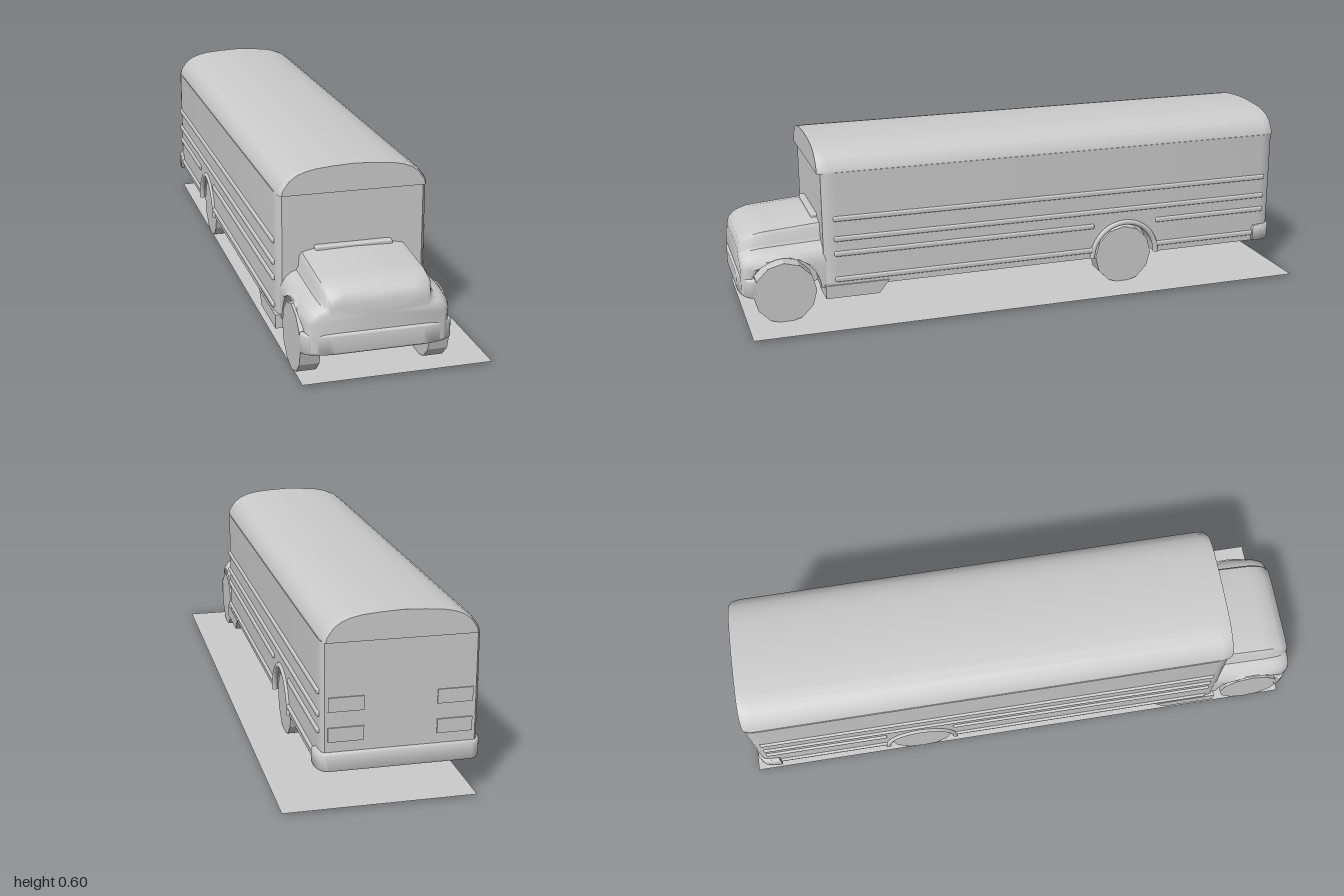
import * as THREE from 'three';
import { toCreasedNormals } from 'three/addons/utils/BufferGeometryUtils.js';
import { RoundedBoxGeometry } from 'three/addons/geometries/RoundedBoxGeometry.js';

const material = new THREE.MeshStandardMaterial({ color: 0xcccccc });
const flatMaterial = new THREE.MeshStandardMaterial({ color: 0xcccccc, flatShading: true });
const thinMaterial = new THREE.MeshStandardMaterial({ color: 0xcccccc, side: THREE.DoubleSide });
const WHEEL_Y = 0.107, FRONT_Z = 0.85, REAR_Z = -0.38;

// Linear interpolation in a short table of [z, value] rows, z ascending
function lookUp(table, z) {
  if (z <= table[0][0]) return table[0][1];
  for (let i = 1; i < table.length; i++) {
    const [z0, v0] = table[i - 1], [z1, v1] = table[i];
    if (z <= z1) return v0 + (v1 - v0) * (z - z0) / (z1 - z0);
  }
  return table[table.length - 1][1];
}

// Skin over mirrored cross-sections; half(z) lists points from bottom to top on +x
function loft(zs, half, crease = 0.7) {
  const pos = [], index = [];
  let n = 0;
  for (const z of zs) {
    const right = half(z);
    const left = right.filter(p => p[0] > 0).reverse().map(([x, y]) => [-x, y]);
    const ring = [...right, ...left];
    n = ring.length;
    ring.forEach(([x, y]) => pos.push(x, y, z));
  }
  for (let i = 0; i < zs.length - 1; i++) for (let j = 0; j < n; j++) {
    const k = (j + 1) % n, a = i * n + j, b = i * n + k;
    index.push(a, b, b + n, a, b + n, a + n);
  }
  // end caps as fans
  for (const end of [0, zs.length - 1]) {
    const start = end * n, centre = pos.length / 3;
    let y = 0;
    for (let j = 0; j < n; j++) y += pos[(start + j) * 3 + 1] / n;
    pos.push(0, y, zs[end]);
    for (let j = 0; j < n; j++) {
      const a = start + j, b = start + (j + 1) % n;
      if (end) index.push(centre, a, b); else index.push(centre, b, a);
    }
  }
  const g = new THREE.BufferGeometry();
  g.setAttribute('position', new THREE.Float32BufferAttribute(pos, 3));
  g.setIndex(index);
  return toCreasedNormals(g, crease);
}

// Wheel arch: section positions, and the height of the lower edge
const archStops = (c, r) => Array.from({ length: 17 }, (_, i) => c - r * Math.cos(i * Math.PI / 16));
const lowerEdge = (z, c, r) =>
  Math.max(0.11, Math.abs(z - c) < r ? WHEEL_Y + Math.sqrt(r * r - (z - c) ** 2) : 0);

// Bumper: plan outline wrapped round the corners, sign = +1 front, -1 rear
function bumper(halfWidth, zIn, zOut, corner, y0, y1, sign) {
  const s = new THREE.Shape();
  const d = zOut - zIn;
  s.moveTo(-halfWidth, zIn);
  s.lineTo(halfWidth, zIn);
  s.lineTo(halfWidth, zIn + d * 0.3);
  s.quadraticCurveTo(halfWidth - corner * 0.1, zOut - d * 0.1, halfWidth - corner, zOut);
  s.lineTo(-halfWidth + corner, zOut);
  s.quadraticCurveTo(-halfWidth + corner * 0.1, zOut - d * 0.1, -halfWidth, zIn + d * 0.3);
  const b = 0.008;
  const g = new THREE.ExtrudeGeometry(s, {
    depth: y1 - y0 - 2 * b, bevelSize: b, bevelThickness: b, bevelOffset: -b, bevelSegments: 3, curveSegments: 8,
  });
  g.rotateX(sign * Math.PI / 2);
  g.translate(0, sign > 0 ? y1 - b : y0 + b, 0);
  return toCreasedNormals(g, 0.8);
}

export function createModel() {
  const model = new THREE.Group();
  const bus = new THREE.Group();
  bus.name = 'bus';
  bus.position.x = -0.055;
  model.add(bus);
  const add = (name, geometry, x = 0, y = 0, z = 0, mat = material) => {
    const mesh = new THREE.Mesh(geometry, mat);
    mesh.name = name;
    mesh.position.set(x, y, z);
    bus.add(mesh);
    return mesh;
  };

  // Passenger body with rounded corners and rear wheel arches
  const bodyWidth = [[-0.96, 0.95], [-0.95, 0.985], [-0.92, 1], [0.67, 1], [0.7, 0.98], [0.715, 0.93]];
  add('body', loft([-0.96, -0.95, -0.92, ...archStops(REAR_Z, 0.12), 0.67, 0.7, 0.715], z => {
    const b = lowerEdge(z, REAR_Z, 0.12), w = 0.245 * lookUp(bodyWidth, z);
    return [[0, b], [w, b], [w, 0.3], [w, 0.515], [0, 0.515]];
  }));

  // Domed roof overhanging the windscreen and the back
  const roofWidth = [[-0.965, 0.95], [-0.955, 0.98], [-0.93, 1], [0.69, 1], [0.715, 0.98], [0.727, 0.95]];
  const dome = [[0, 0.512], [0.243, 0.512], [0.24, 0.528], [0.218, 0.558], [0.195, 0.574],
    [0.165, 0.585], [0.13, 0.592], [0.07, 0.597], [0, 0.6]];
  add('roof', loft([-0.965, -0.955, -0.93, 0.69, 0.715, 0.727], z =>
    dome.map(([x, y]) => [x * lookUp(roofWidth, z), y])));

  // Bonnet and front wings
  const hoodHeight = [[0.7, 1], [0.915, 0.87], [0.96, 0.77], [0.985, 0.6], [0.992, 0.4]];
  const hoodWidth = [[0.9, 1], [0.945, 0.985], [0.97, 0.95], [0.985, 0.91], [0.992, 0.86]];
  const hoodHalf = [[0, 0], [0.232, 0], [0.235, 0.2], [0.23, 0.225], [0.217, 0.247], [0.2, 0.26],
    [0.182, 0.266], [0.176, 0.278], [0.173, 0.312], [0.165, 0.324], [0.12, 0.333], [0, 0.336]];
  const hoodStops = [0.7, ...archStops(FRONT_Z, 0.124), 0.98, 0.985, 0.992];
  add('hood', loft(hoodStops, z => {
    const b = lowerEdge(z, FRONT_Z, 0.124), h = lookUp(hoodHeight, z), w = lookUp(hoodWidth, z);
    return hoodHalf.map(([x, y]) => [x * w, Math.max(b, y > 0.2 ? 0.2 + (y - 0.2) * h : y)]);
  }));
  add('cowl', new RoundedBoxGeometry(0.25, 0.02, 0.03, 2, 0.006), 0, 0.333, 0.72);

  // Inner floor closing the wheel wells
  add('chassis', new THREE.BoxGeometry(0.33, 0.13, 1.88), 0, 0.18, 0.015);

  add('frontBumper', bumper(0.235, 0.945, 1.0, 0.1, 0.1, 0.167, 1));
  add('rearBumper', bumper(0.258, 0.895, 0.973, 0.035, 0.11, 0.17, -1));

  for (const side of [-1, 1]) {
    // Side rails; the low ones stop at the wheel arch
    const rail = (y, z0, z1, h = 0.018) => add('sideRail',
      new RoundedBoxGeometry(0.018, h, z1 - z0, 2, 0.006), side * 0.243, y, (z0 + z1) / 2);
    rail(0.355, -0.935, 0.68);
    rail(0.284, -0.935, 0.68);
    for (const y of [0.231, 0.14]) {
      rail(y, REAR_Z + 0.12, 0.68);
      rail(y, -0.935, REAR_Z - 0.12);
    }

    // Flare round the rear wheel arch
    const flare = new THREE.TorusGeometry(0.124, 0.01, 8, 20, Math.PI);
    flare.rotateY(Math.PI / 2);
    add('wheelArchFlare', flare, side * 0.244, WHEEL_Y + 0.003, REAR_Z);

    // Entrance step with a sloping rear end
    const step = new THREE.Shape([[0.715, 0.12], [0.715, 0.075], [0.53, 0.075], [0.495, 0.12]]
      .map(([z, y]) => new THREE.Vector2(z, y)));
    const stepGeometry = new THREE.ExtrudeGeometry(step, { depth: 0.11, bevelEnabled: false });
    stepGeometry.rotateY(-Math.PI / 2);
    add('step', stepGeometry, side * 0.195 + 0.055, 0, 0);

    // Wheels
    for (const [name, z] of [['frontWheel', FRONT_Z], ['rearWheel', REAR_Z]]) {
      const wheel = new THREE.CylinderGeometry(WHEEL_Y, WHEEL_Y, 0.063, 12);
      wheel.rotateZ(Math.PI / 2);
      add(name, wheel, side * 0.2035, WHEEL_Y, z, flatMaterial);
    }

    // Rear lamps
    for (const y of [0.32, 0.225]) {
      add('rearLamp', new THREE.BoxGeometry(0.11, 0.045, 0.014), side * 0.168, y, -0.957);
    }
  }

  // Thin sheet beneath the wheels
  const sheet = new THREE.Mesh(new THREE.PlaneGeometry(0.605, 1.98), thinMaterial);
  sheet.name = 'baseSheet';
  sheet.rotation.x = -Math.PI / 2;
  sheet.position.set(0.0125, 0.006, -0.01);
  model.add(sheet);
  return model;
}
